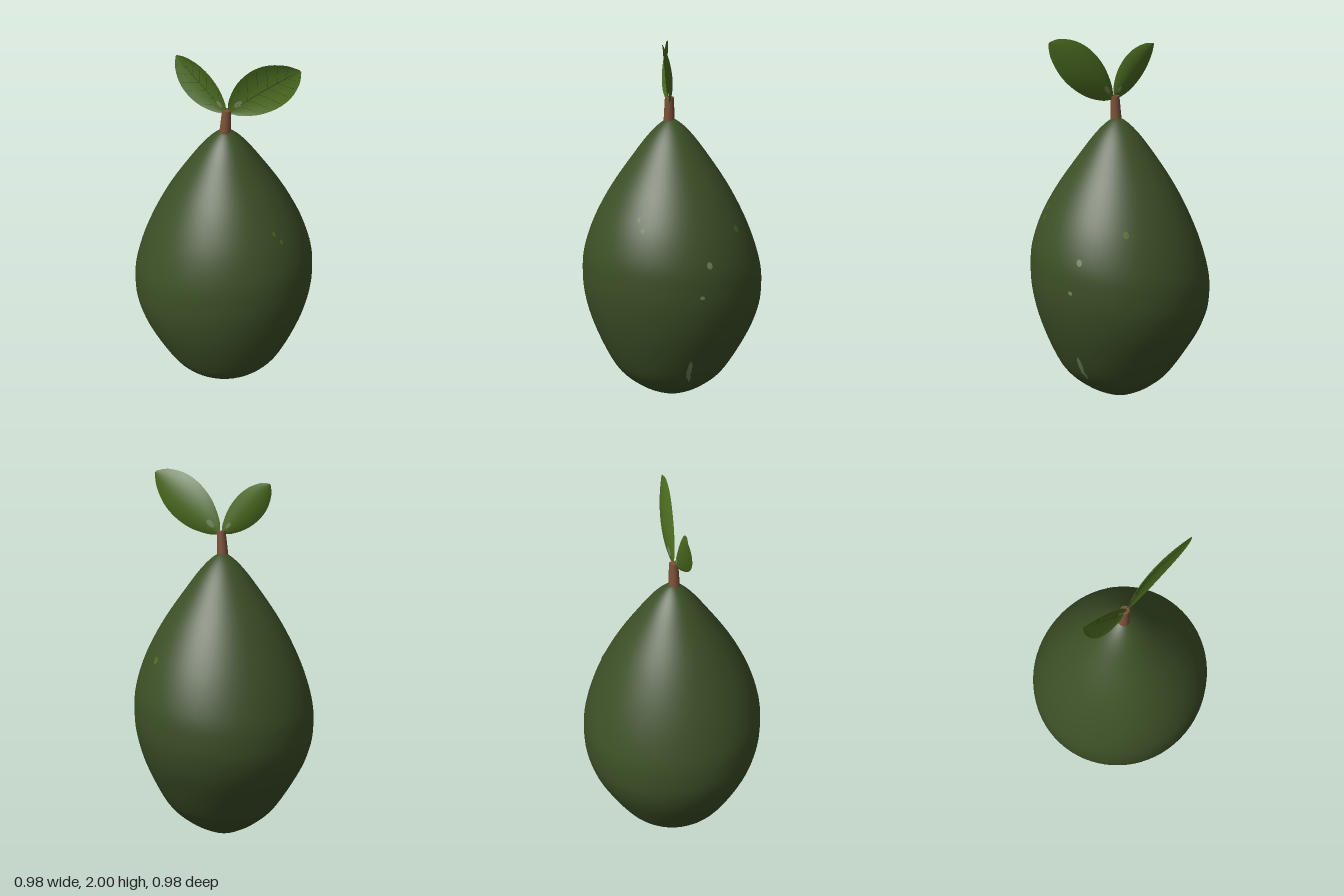
import * as THREE from 'three';
import { mergeVertices } from 'three/addons/utils/BufferGeometryUtils.js';

const { lerp } = THREE.MathUtils;

function mat(name, color, side = THREE.FrontSide) {
  const m = new THREE.MeshStandardMaterial({ color, side });
  m.name = name;
  return m;
}

// Smooth grid over fn(u, v) -> Vector3, for a range of u and v
function surface(fn, nu, nv, [u0, u1] = [0, 1], [v0, v1] = [0, 1]) {
  const pos = [], idx = [];
  for (let i = 0; i <= nu; i++) {
    for (let j = 0; j <= nv; j++) {
      pos.push(...fn(lerp(u0, u1, i / nu), lerp(v0, v1, j / nv)).toArray());
      if (i < nu && j < nv) {
        const a = i * (nv + 1) + j, b = a + nv + 1;
        idx.push(a, b, b + 1, a, b + 1, a + 1);
      }
    }
  }
  let geo = new THREE.BufferGeometry();
  geo.setAttribute('position', new THREE.Float32BufferAttribute(pos, 3));
  geo.setIndex(idx);
  geo = mergeVertices(geo, 1e-5);
  geo.computeVertexNormals();
  return geo;
}

export function createModel() {
  const group = new THREE.Group();
  const skin = mat('skin green', 0x3c4f26);
  const bark = mat('stem brown', 0x7c5239);
  const leafGreen = mat('leaf green', 0x4b6a20, THREE.DoubleSide);
  const vein = mat('vein dark green', 0x2f4520, THREE.DoubleSide);
  const tipRed = mat('leaf tip red brown', 0x7a3c28, THREE.DoubleSide);
  const pale = mat('pale green', 0x6f8558, THREE.DoubleSide);
  const add = (name, geo, material, parent = group) => {
    const m = new THREE.Mesh(geo, material);
    m.name = name;
    parent.add(m);
    return m;
  };

  // Fruit: pear profile, its belly tilted up towards +x and +z
  const profile = new THREE.SplineCurve([
    [0, 0], [0.08, 0.02], [0.2, 0.085], [0.31, 0.19], [0.425, 0.4], [0.478, 0.56], [0.49, 0.69],
    [0.477, 0.82], [0.418, 1.0], [0.315, 1.2], [0.178, 1.4], [0.098, 1.5], [0.035, 1.555], [0, 1.565],
  ].map(p => new THREE.Vector2(...p)));
  const fruit = (u, v, lift = 0) => {
    const p = profile.getPoint(u), a = v * Math.PI * 2;
    const r = Math.max(0, p.x) + lift;
    const x = r * Math.cos(a), z = r * Math.sin(a);
    const w = Math.sin(Math.PI * Math.min(1, p.y / 1.565)) ** 2;
    const lean = 0.014 * (1 - w) * Math.min(1, p.y / 0.2);
    return new THREE.Vector3(x + lean, p.y + w * (0.12 * x + 0.1 * z), z + lean * 0.8);
  };
  add('fruit', surface(fruit, 64, 72), skin);

  // Small skin blemishes on the +x side: height, z, height size, width
  const blemish = ([y, z, h, w], material) => {
    let u = 0, v = 0;
    for (let k = 0; k < 12; k++) {
      const p = fruit(u, v);
      u = THREE.MathUtils.clamp(u + (y - p.y) / 1.9, 0, 1);
      v += (z - p.z) / 3;
    }
    const du = h / 3.2, dv = w / 5.5;
    add('skinSpot', surface((s, t) => {
      const a = t * Math.PI * 2;
      return fruit(u + s * du * Math.sin(a), v + s * dv * Math.cos(a), 0.003);
    }, 2, 8), material);
  };
  [[1.1, 0.215, 0.02, 0.02], [1.05, 0.2, 0.02, 0.02], [1.02, -0.3, 0.025, 0.035]]
    .forEach(s => blemish(s, leafGreen));
  [[0.875, -0.135, 0.03, 0.03], [0.71, -0.095, 0.02, 0.025], [0.26, -0.045, 0.07, 0.035],
    [0.2, -0.05, 0.03, 0.02]].forEach(s => blemish(s, pale));

  // Stem, leaning slightly
  const stem = add('stem', new THREE.CylinderGeometry(0.024, 0.03, 0.13, 20), bark);
  stem.position.set(0.018, 1.617, 0.018);
  stem.rotation.z = -0.07;

  // Leaves: a cupped blade along a midrib, u = base to tip, v = lower to upper margin
  const width = new THREE.SplineCurve([
    [0, 0.07], [0.1, 0.46], [0.3, 0.86], [0.52, 1], [0.72, 0.88], [0.9, 0.5], [1, 0.06],
  ].map(p => new THREE.Vector2(...p)));

  function leaf(name, base, tip, up, low, bow, cup) {
    const g = new THREE.Group();
    g.name = name;
    group.add(g);
    const d = new THREE.Vector2(tip.x - base.x, tip.y - base.y).normalize();
    const side = Math.sign(d.x);
    const blade = (u, v, lift = 0) => {
      const p = width.getPoint(u);
      const o = v * p.y * (v > 0 ? up : low);
      const q = base.clone().lerp(tip, p.x);
      q.x -= side * d.y * o;
      q.y += side * d.x * o;
      q.z += bow * 4 * p.x * (1 - p.x) + cup * v * v * p.y + lift;
      return q;
    };
    add('leafBlade', surface(blade, 28, 16, [0, 0.975], [-1, 1]), leafGreen, g);
    add('leafTip', surface(blade, 2, 8, [0.975, 1], [-1, 1]), tipRed, g);
    // Midrib and side veins on the front face
    add('midrib', surface((u, v) => blade(u, v, 0.002), 20, 1, [0.02, 0.95], [-0.02, 0.02]), vein, g);
    for (let i = 0; i < 6; i++) {
      for (const s of [-1, 1]) {
        const u0 = 0.18 + i * 0.11;
        add('sideVein', surface((t, w) => blade(u0 + t * 0.13 + w * 0.004, s * t * 0.85, 0.002), 8, 1), vein, g);
      }
    }
    // Pale patch near the base, on both faces
    for (const lift of [-0.002, 0.002]) {
      add('palePatch', surface((s, t) => {
        const a = t * Math.PI * 2;
        return blade(0.2 + 0.05 * s * Math.cos(a), 0.12 + 0.22 * s * Math.sin(a), lift);
      }, 2, 10), pale, g);
    }
  }
  const V = (x, y, z) => new THREE.Vector3(x, y, z);
  leaf('leftLeaf', V(0.035, 1.67, 0.02), V(0.425, 1.985, 0.1), 0.125, 0.108, -0.03, 0.028);
  leaf('rightLeaf', V(0.018, 1.67, 0.025), V(-0.255, 1.94, -0.01), 0.083, 0.087, 0.002, 0.024);

  return group;
}
